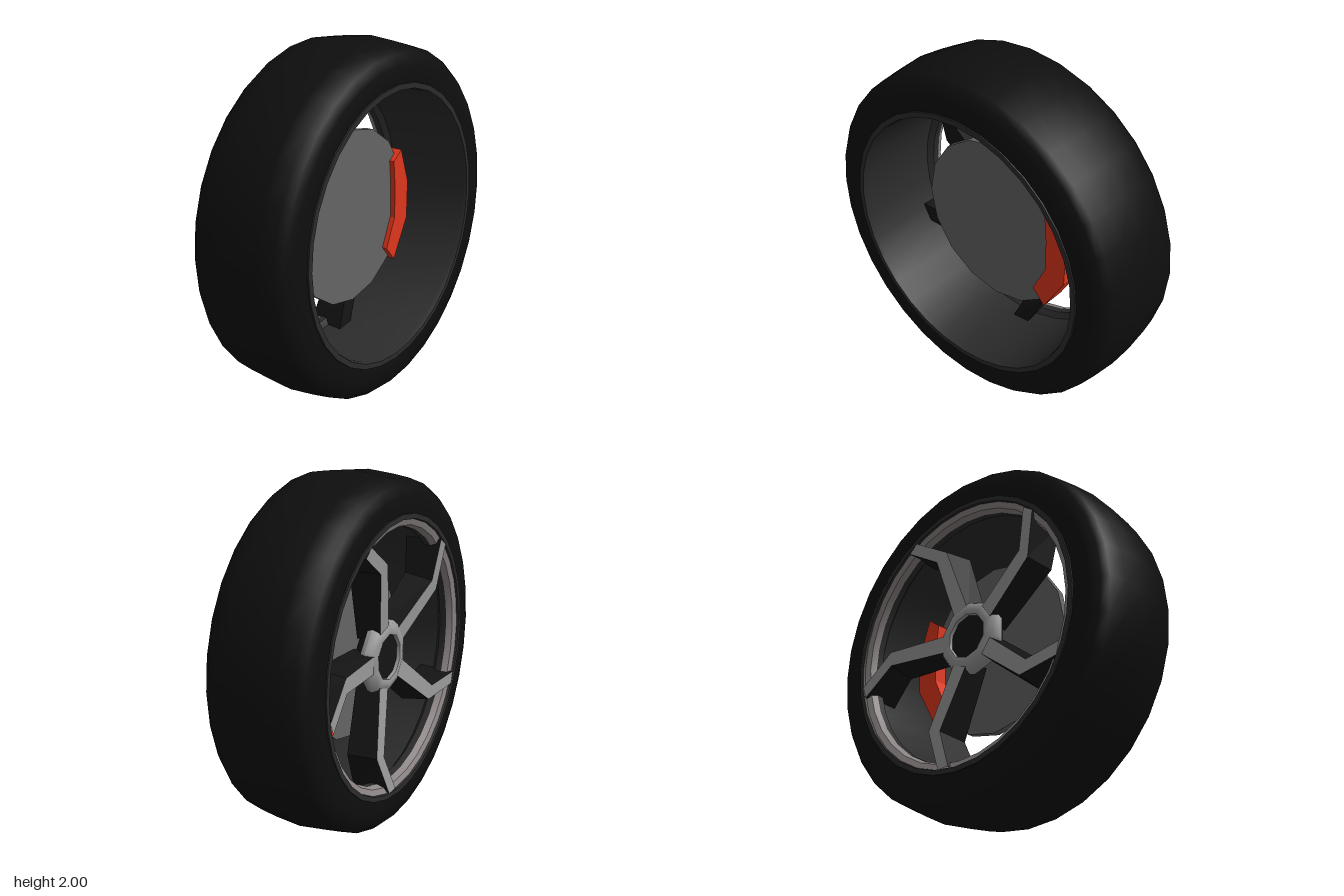
import * as THREE from 'three';
import { toCreasedNormals } from 'three/addons/utils/BufferGeometryUtils.js';

const mat = (color, flat = false, side = THREE.FrontSide) =>
  new THREE.MeshStandardMaterial({ color, flatShading: flat, side });

// Profile of [radius, z] pairs turned around the z axis
function turned(points, segments, crease = 0.5) {
  const geo = new THREE.LatheGeometry(points.map(p => new THREE.Vector2(p[0], p[1])), segments);
  geo.rotateX(Math.PI / 2);
  return toCreasedNormals(geo, crease);
}

// Disc or drum along z, between z0 and z1
function drum(rBack, rFront, z0, z1, segments) {
  const geo = new THREE.CylinderGeometry(rFront, rBack, z1 - z0, segments);
  geo.rotateX(Math.PI / 2);
  return geo.translate(0, 0, (z0 + z1) / 2);
}

// Joins four-cornered sections along the chosen edges
function skin(sections, edges) {
  const pos = [];
  for (let k = 0; k < sections.length - 1; k++) {
    const s = sections[k], t = sections[k + 1];
    for (const i of edges) {
      const j = (i + 1) % 4;
      pos.push(...s[i], ...s[j], ...t[j], ...s[i], ...t[j], ...t[i]);
    }
  }
  const geo = new THREE.BufferGeometry();
  geo.setAttribute('position', new THREE.Float32BufferAttribute(pos, 3));
  geo.computeVertexNormals();
  return geo;
}

export function createModel() {
  const model = new THREE.Group();
  model.name = 'wheel';
  const add = (name, geo, material, parent = model) => {
    const mesh = new THREE.Mesh(geo, material);
    mesh.name = name;
    parent.add(mesh);
    return mesh;
  };

  const rubber = mat(0x0e0e0e, false, THREE.DoubleSide);
  const darkRim = mat(0x2b2b2b, false, THREE.DoubleSide);
  const black = mat(0x141414, true);
  const silver = mat(0x999999, true);
  const lipGrey = mat(0x8c8484, false, THREE.DoubleSide);
  const steel = mat(0x646464, true);
  const red = mat(0xe0361c, true);

  // Tyre: slightly crowned tread with rounded shoulders
  add('tire', turned([
    [0.77, -0.305], [0.80, -0.31], [0.88, -0.302], [0.94, -0.285], [0.97, -0.25], [0.985, -0.15], [1, 0],
    [0.985, 0.15], [0.97, 0.25], [0.94, 0.285], [0.88, 0.302], [0.80, 0.31], [0.77, 0.305],
  ], 32, 1), rubber);

  // Rim: front lip, barrel, rear step and rear lip
  add('rimBarrel', turned([
    [0.79, 0.30], [0.787, 0.315], [0.757, 0.315], [0.75, 0.29],
    [0.742, -0.19], [0.712, -0.215], [0.712, -0.255],
  ], 32), darkRim);
  add('rimTrim', turned([[0.712, -0.255], [0.725, -0.29], [0.757, -0.303]], 32), lipGrey);
  add('rimRearLip', turned([[0.757, -0.303], [0.76, -0.315], [0.788, -0.315], [0.79, -0.30]], 32), darkRim);

  // Five kinked spokes: silver face, black sides
  const sections = [
    // corners: upper face, upper inner, lower inner, lower face
    [[0.14, 0.05, -0.235], [0.14, 0.065, -0.10], [0.14, -0.065, -0.10], [0.14, -0.05, -0.235]],
    [[0.555, 0.055, -0.29], [0.56, 0.08, -0.12], [0.56, -0.055, -0.12], [0.545, -0.03, -0.29]],
    [[0.75, -0.115, -0.315], [0.755, -0.10, -0.10], [0.725, -0.20, -0.10], [0.725, -0.185, -0.315]],
  ];
  const sides = skin(sections, [0, 1, 2]);
  const face = skin(sections, [3]);
  for (let i = 0; i < 5; i++) {
    const spoke = new THREE.Group();
    spoke.name = 'spoke' + (i + 1);
    add('spokeSides', sides, black, spoke);
    add('spokeFace', face, silver, spoke);
    spoke.rotation.z = i * Math.PI * 2 / 5;
    model.add(spoke);
  }

  // Hub: rounded collar, recessed cap and body behind
  add('hubCollar', turned([
    [0.125, -0.20], [0.13, -0.245], [0.15, -0.25], [0.195, -0.235], [0.215, -0.20], [0.205, -0.17],
  ], 10, 1), mat(0x999999, false, THREE.DoubleSide));
  add('hubCap', drum(0.135, 0.135, -0.225, -0.18, 10), black);
  add('hubBody', drum(0.2, 0.15, -0.18, -0.11, 10), black);

  // Brake disc
  add('brakeDisc', drum(0.5, 0.5, -0.02, 0.02, 16), steel);

  // Brake caliper gripping the disc edge on the +x side
  const outline = [
    [0.365, 0.235], [0.38, 0.08], [0.38, -0.11], [0.30, -0.28],
    [0.38, -0.37], [0.51, -0.145], [0.515, 0.08], [0.44, 0.29],
  ].map(p => new THREE.Vector2(p[0], p[1]));
  const caliper = new THREE.ExtrudeGeometry(new THREE.Shape(outline), { depth: 0.15, bevelEnabled: false });
  caliper.translate(0, 0, -0.10);
  add('brakeCaliper', caliper, red);

  model.position.y = 1;
  const root = new THREE.Group();
  root.add(model);
  return root;
}
